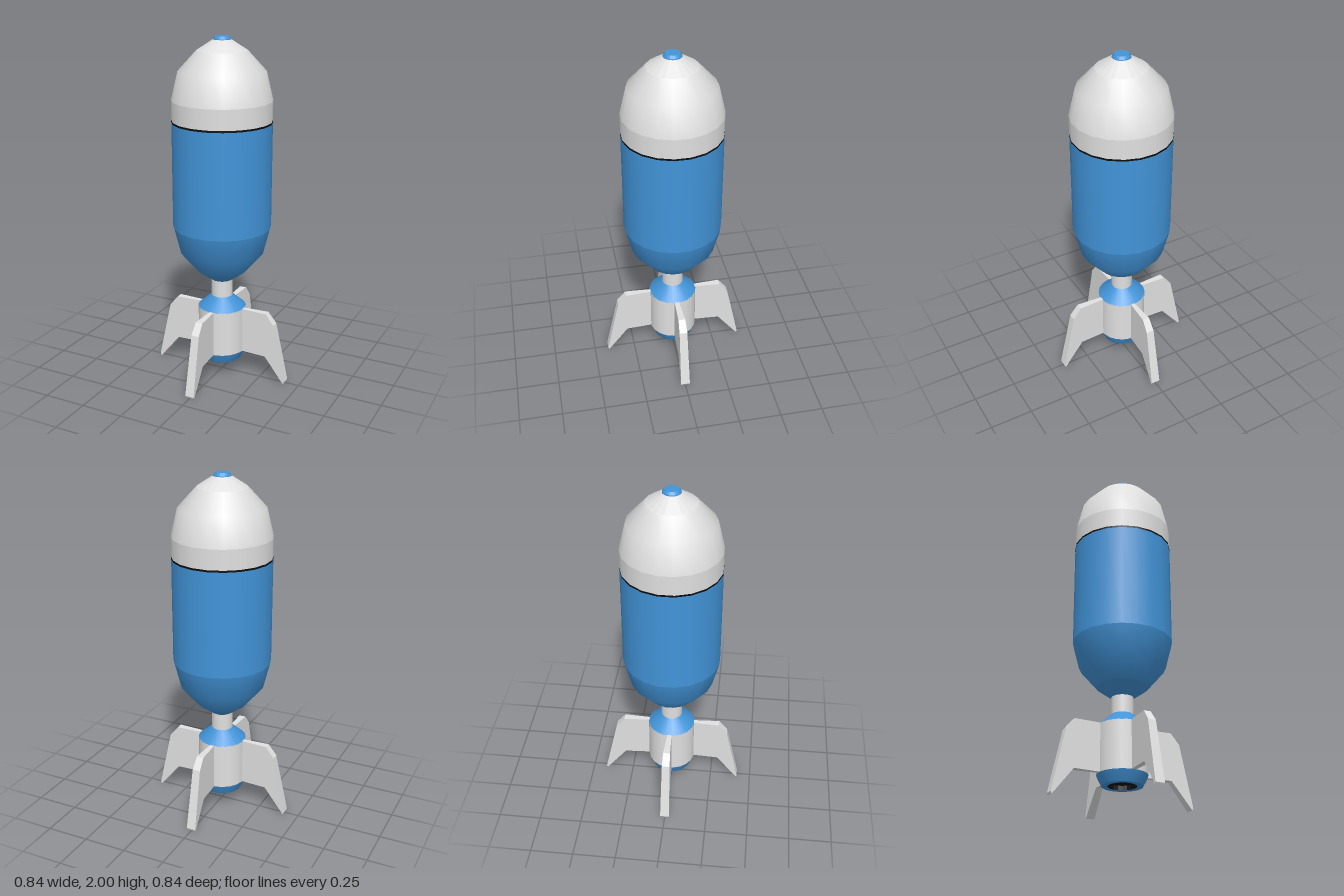
import * as THREE from 'three';

const SIDES = 20;

export function createModel() {
  const model = new THREE.Group();
  const material = (name, color) => {
    const m = new THREE.MeshStandardMaterial({ color });
    m.name = name;
    return m;
  };
  const blue = material('blue', 0x4294d8);
  const grey = material('lightGrey', 0xe0e0e0);
  const black = material('black', 0x0c0c0c);

  const add = (name, geometry, mat, parent = model) => {
    const mesh = new THREE.Mesh(geometry, mat);
    mesh.name = name;
    parent.add(mesh);
    return mesh;
  };

  // Turned part from [radius, height] pairs, bottom to top
  const turned = (name, profile, mat, flat = false) => {
    let g = new THREE.LatheGeometry(
      profile.map(([r, y]) => new THREE.Vector2(r, y)), SIDES, Math.PI / SIDES);
    if (flat) {
      g = g.toNonIndexed();
      g.computeVertexNormals();
    }
    return add(name, g, mat);
  };

  // Main body
  turned('bodyTailCone', [[0, 0.59], [0.062, 0.59], [0.145, 0.65]], blue, true);
  turned('body', [[0.145, 0.65], [0.245, 0.768], [0.283, 0.92]], blue);
  turned('bodyTube', [[0.283, 0.92], [0.283, 1.528]], blue);
  turned('seam', [[0.2835, 1.526], [0.2835, 1.537]], black);

  // Nose
  turned('noseBase', [[0.283, 1.535], [0.283, 1.65]], grey);
  turned('nose', [[0.283, 1.65], [0.245, 1.81], [0.142, 1.922]], grey);
  turned('noseTop', [[0.142, 1.922], [0.045, 1.985], [0, 1.985]], grey, true);
  turned('noseCap', [[0.052, 1.978], [0.05, 1.986], [0.039, 2], [0, 2]], blue, true);

  // Neck and tail hub
  turned('neck', [[0.062, 0.48], [0.062, 0.6]], grey);
  turned('hubShoulder', [[0.141, 0.42], [0.062, 0.49]], blue);
  turned('hub', [[0.14, 0.15], [0.14, 0.422]], grey);
  turned('nozzle', [[0.113, 0.09], [0.131, 0.125], [0.141, 0.15]], blue);
  turned('nozzleRim', [[0.08, 0.09], [0.113, 0.09]], blue);
  turned('nozzleHole', [[0, 0.115], [0.08, 0.115], [0.08, 0.09]], black, true);

  // Fins, thickening away from the hub
  const outline = [[0.13, 0.15], [0.29, 0.15], [0.411, 0],
    [0.418, 0.012], [0.342, 0.36], [0.292, 0.422], [0.13, 0.422]];
  const shape = new THREE.Shape(outline.map(([x, y]) => new THREE.Vector2(x, y)));
  const fin = new THREE.ExtrudeGeometry(shape, { depth: 1, bevelEnabled: false });
  const p = fin.attributes.position;
  for (let i = 0; i < p.count; i++) {
    const half = 0.013 + (p.getX(i) - 0.14) * 0.05;
    p.setZ(i, p.getZ(i) > 0.5 ? half : -half);
  }
  fin.computeVertexNormals();
  ['leftFin', 'backFin', 'rightFin', 'frontFin'].forEach((name, i) => {
    add(name, fin, grey).rotation.y = i * Math.PI / 2;
  });

  return model;
}
